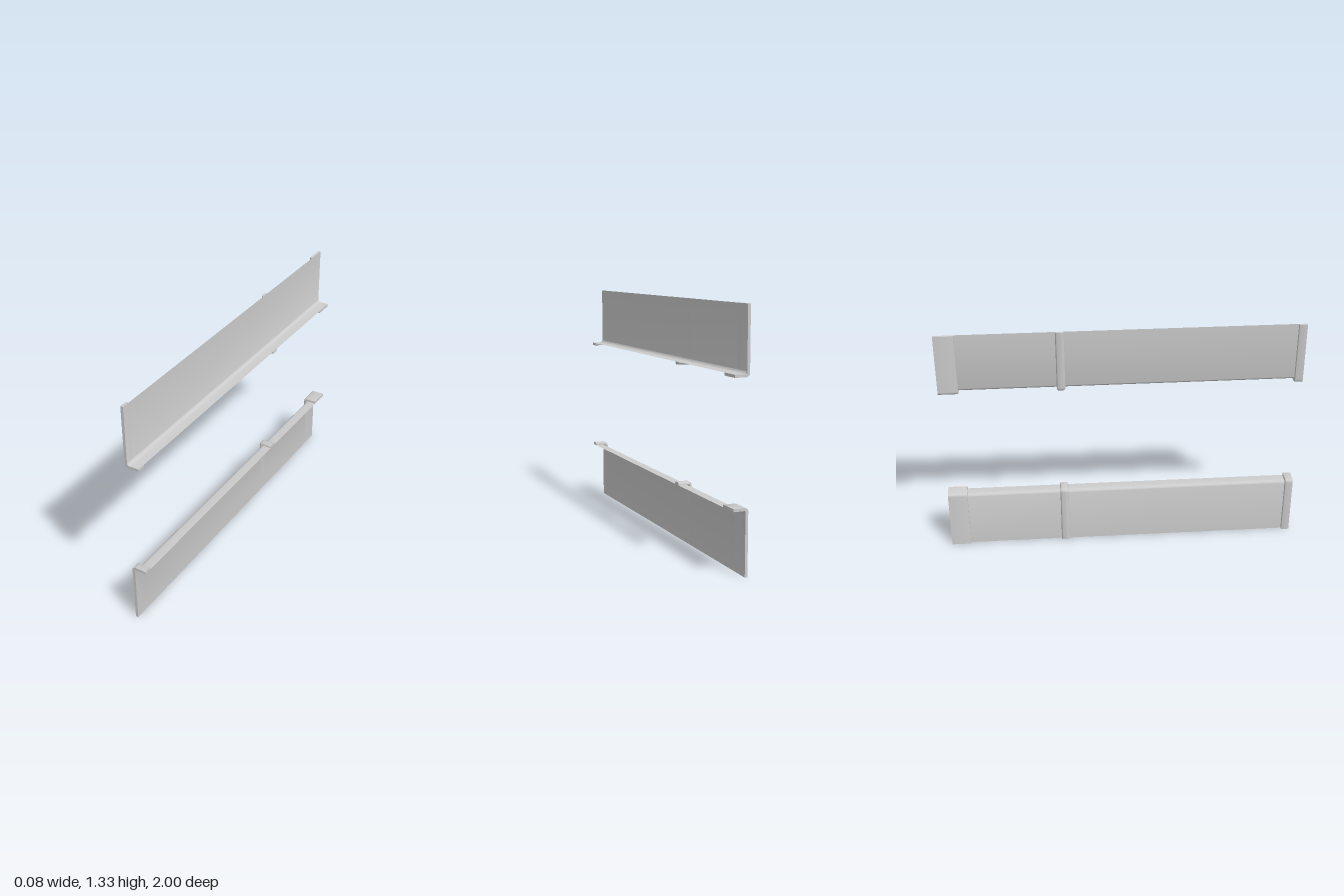
import * as THREE from 'three';
import { toCreasedNormals } from 'three/addons/utils/BufferGeometryUtils.js';

const material = new THREE.MeshStandardMaterial({ color: 0xcccccc, side: THREE.DoubleSide });
const X = -0.026, TOP = 0.334, LIP = 0.04;

// L-shaped path up the wall, round the bend and out along the lip; n is the outward direction
function bentPath(r, steps = 10) {
  const path = [{ x: X, y: 0, nx: -1, ny: 0 }];
  for (let i = 0; i <= steps; i++) {
    const a = (i / steps) * Math.PI / 2, nx = -Math.cos(a), ny = Math.sin(a);
    path.push({ x: X + r + r * nx, y: TOP - r + r * ny, nx, ny });
  }
  path.push({ x: LIP, y: TOP, nx: 0, ny: 1 });
  return path;
}

// Sweeps a section of [z, outward offset] points along the path
function sweep(name, path, section, closed) {
  const pos = [], index = [], m = section.length, last = path.length - 1;
  for (const p of path)
    for (const [z, d] of section) pos.push(p.x + p.nx * d, p.y + p.ny * d, z);
  for (let i = 0; i < last; i++) {
    for (let j = 0; j < (closed ? m : m - 1); j++) {
      const a = i * m + j, b = i * m + (j + 1) % m;
      index.push(a, a + m, b + m, a, b + m, b);
    }
  }
  if (closed) {
    for (let j = 1; j < m - 1; j++)
      index.push(0, j, j + 1, last * m, last * m + j + 1, last * m + j);
  }
  const g = new THREE.BufferGeometry();
  g.setAttribute('position', new THREE.Float32BufferAttribute(pos, 3));
  g.setIndex(index);
  const mesh = new THREE.Mesh(toCreasedNormals(g, 0.6), material);
  mesh.name = name;
  return mesh;
}

// Band section from z0 to z1 with rounded outer edges of radius r0 and r1
function bandSection(z0, z1, r0, r1, h = 0.015) {
  const pts = [[z0, 0], [z1, 0]];
  const corner = (z, r, from) => {
    if (!r) return pts.push([z, h]);
    for (let k = 0; k <= 4; k++) {
      const a = from + (k / 4) * Math.PI / 2;
      pts.push([z + r * Math.cos(a), h - r + r * Math.sin(a)]);
    }
  };
  corner(z1 - r1, r1, 0);
  corner(z0 + r0, r0, Math.PI / 2);
  return pts;
}

function createRail(name) {
  const rail = new THREE.Group();
  rail.name = name;
  // thin bent sheet
  rail.add(sweep('panel', bentPath(0.022), [[-1, 0], [1, 0]], false));
  // raised bands wrapped round the outside
  const bandPath = bentPath(0.005);
  rail.add(sweep('frontBand', bandPath, bandSection(0.955, 1, 0.004, 0), true));
  rail.add(sweep('middleBand', bandPath, bandSection(-0.357, -0.31, 0.012, 0.012), true));
  rail.add(sweep('backBand', bandPath, bandSection(-1, -0.89, 0, 0.006), true));
  return rail;
}

export function createModel() {
  const model = new THREE.Group();
  model.name = 'railPair';
  const lower = createRail('lowerRail');
  // upper rail is the lower one mirrored vertically
  const upper = createRail('upperRail');
  upper.scale.y = -1;
  upper.position.y = 1.334;
  model.add(lower, upper);
  return model;
}
